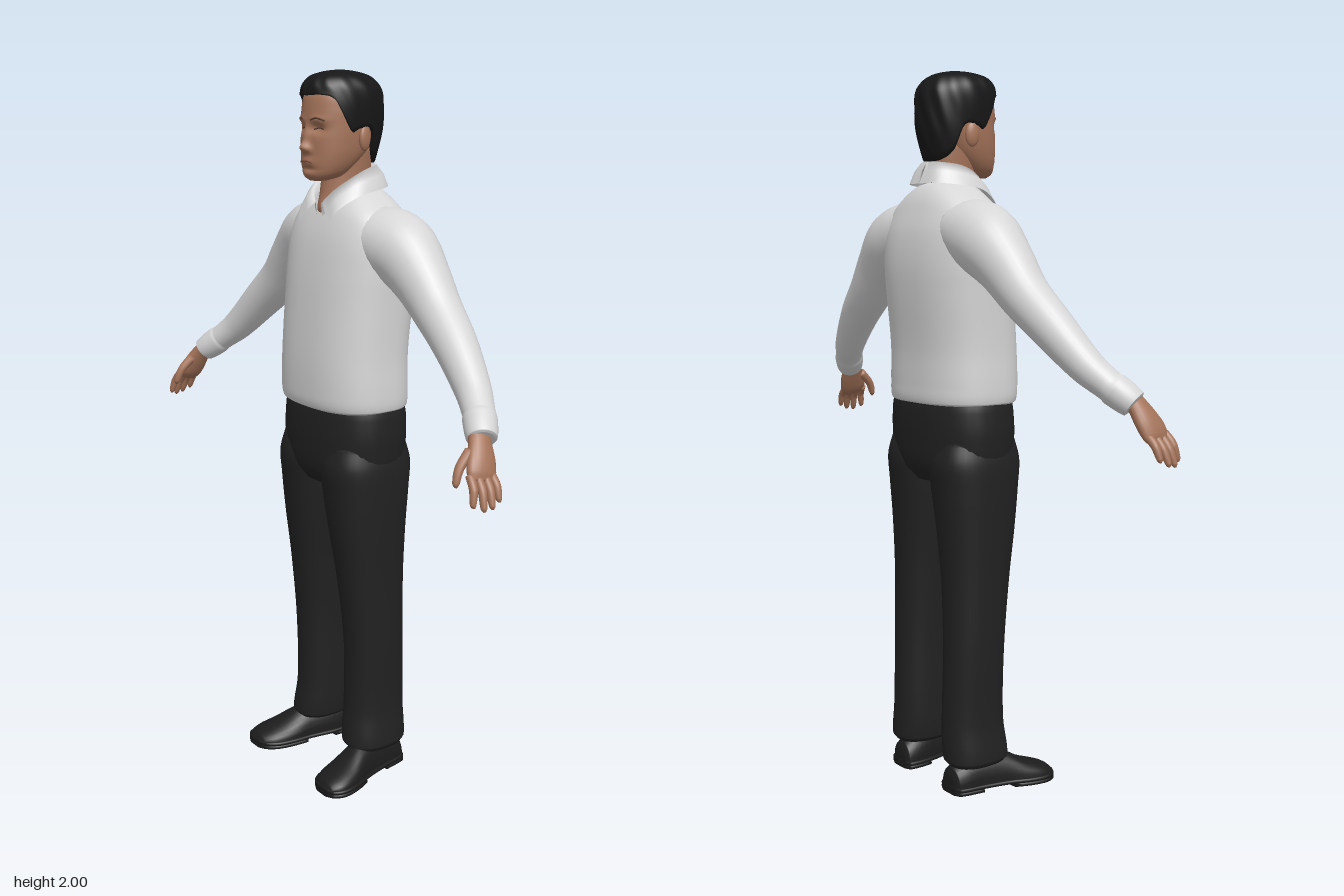
import * as THREE from 'three';

const V = (x, y, z) => new THREE.Vector3(x, y, z);
const mat = (name, color, side = THREE.FrontSide) => Object.assign(new THREE.MeshStandardMaterial({ color, side }), { name });
const spow = (v, p) => Math.sign(v) * Math.pow(Math.abs(v), p);
const bell = (v, s) => Math.exp(-(v * v) / (s * s));

// Smooth interpolation of key rows; the first number of a row is its parameter
function at(K, t) {
  const last = K.length - 1;
  let i = 0;
  while (i < last - 1 && t > K[i + 1][0]) i++;
  const h = K[i + 1][0] - K[i][0];
  const s = Math.min(1, Math.max(0, (t - K[i][0]) / h)), s2 = s * s, s3 = s2 * s;
  const slope = (j, c) => {
    const a = K[Math.max(j - 1, 0)], b = K[Math.min(j + 1, last)];
    return (b[c] - a[c]) / (b[0] - a[0]);
  };
  return K[i].map((p, c) => (2 * s3 - 3 * s2 + 1) * p + (s3 - 2 * s2 + s) * h * slope(i, c)
    + (3 * s2 - 2 * s3) * K[i + 1][c] + (s3 - s2) * h * slope(i + 1, c));
}

// Parameter values with k steps between neighbouring keys
function steps(K, k) {
  const out = [K[0][0]];
  for (let i = 1; i < K.length; i++)
    for (let j = 1; j <= k; j++) out.push(K[i - 1][0] + (K[i][0] - K[i - 1][0]) * j / k);
  return out;
}

// Surface through rows of points, optionally closed around and capped
function skin(rows, { wrap = true, bottom = true, top = true } = {}) {
  const n = rows[0].length, pts = rows.flat(), idx = [];
  for (let i = 0; i < rows.length - 1; i++)
    for (let j = 0; j < (wrap ? n : n - 1); j++) {
      const a = i * n + j, b = i * n + (j + 1) % n;
      idx.push(a, b, a + n, b, b + n, a + n);
    }
  const cap = (row, start, flip) => {
    const c = row.reduce((s, p) => s.add(p), V(0, 0, 0)).divideScalar(n);
    pts.push(c);
    for (let j = 0; j < n; j++) {
      const a = start + j, b = start + (j + 1) % n;
      idx.push(pts.length - 1, flip ? b : a, flip ? a : b);
    }
  };
  if (wrap && bottom) cap(rows[0], 0, true);
  if (wrap && top) cap(rows[rows.length - 1], (rows.length - 1) * n, false);
  const g = new THREE.BufferGeometry().setFromPoints(pts);
  g.setIndex(idx);
  g.computeVertexNormals();
  return g;
}

const ring = (n, f) => Array.from({ length: n }, (_, j) => f(j / n * Math.PI * 2));

// Point on a horizontal section [y, x0, x1, z0, z1]
const section = ([y, x0, x1, z0, z1], a, n) => V((x0 + x1) / 2 + (x1 - x0) / 2 * spow(Math.cos(a), 2 / n), y,
  (z0 + z1) / 2 - (z1 - z0) / 2 * spow(Math.sin(a), 2 / n));
const upright = (K, n = 2.4, segs = 36, k = 5) => skin(steps(K, k).map(t => ring(segs, a => section(at(K, t), a, n))));
// [y, half width, front z, back z] to a symmetric section
const sym = K => K.map(([y, w, f, b]) => [y, -w, w, b, f]);

// Limb with keys [x, y, z, radius, radius across z]
function limb(K, segs = 20, k = 5) {
  return skin(steps(K, k).map(t => {
    const [x, y, z, r, rz] = at(K, t), e = 0.004;
    const p = at(K, t - e), q = at(K, t + e);
    const d = V(q[0] - p[0], q[1] - p[1], q[2] - p[2]).normalize();
    const u = V(0, 0, 1).cross(d).normalize(), v = d.clone().cross(u);
    return ring(segs, a => V(x, y, z).addScaledVector(u, r * Math.cos(a)).addScaledVector(v, rz * Math.sin(a)));
  }));
}

function mirrored(g) {
  const m = g.clone().scale(-1, 1, 1), i = m.index.array;
  for (let k = 0; k < i.length; k += 3) [i[k], i[k + 1]] = [i[k + 1], i[k]];
  m.computeVertexNormals();
  return m;
}

export function createModel() {
  const model = new THREE.Group();
  const shirt = mat('shirt white', 0xd6d6d6, THREE.DoubleSide), cloth = mat('trouser black', 0x212122);
  const skinTone = mat('skin', 0xa5745a), hairMat = mat('hair black', 0x171717, THREE.DoubleSide);
  const leather = mat('shoe black', 0x1c1c1c), lipMat = mat('lip brown', 0x8c5d49), browMat = mat('brow brown', 0x55392c);
  const add = (name, g, m) => {
    const mesh = new THREE.Mesh(g, m);
    mesh.name = name;
    model.add(mesh);
  };
  const pair = (name, g, m) => {
    add(name + 'Left', g, m);
    add(name + 'Right', mirrored(g), m);
  };

  // Shirt body and sleeves
  add('shirtBody', upright(sym([[1.095, .186, .1, -.152], [1.105, .197, .115, -.164], [1.15, .2, .12, -.166],
    [1.25, .197, .118, -.167], [1.4, .2, .105, -.18], [1.48, .203, .095, -.183], [1.56, .2, .08, -.175],
    [1.62, .178, .06, -.157], [1.66, .13, .04, -.14], [1.69, .08, .02, -.115], [1.7, .05, 0, -.09]]), 2.5, 48), shirt);
  pair('sleeve', limb([[.11, 1.57, -.055, .085, .1], [.16, 1.553, -.06, .097, .1], [.215, 1.53, -.065, .096, .094],
    [.285, 1.473, -.063, .08, .078], [.355, 1.402, -.059, .067, .066], [.445, 1.325, -.045, .058, .058],
    [.545, 1.232, -.018, .046, .047], [.6, 1.186, .01, .039, .042], [.612, 1.176, .018, .042, .044],
    [.65, 1.143, .045, .036, .039], [.652, 1.141, .046, .028, .031]], 28), shirt);

  // Folded collar: inner stand, top fold, outer wing
  const collar = [[0, .012, 1.655, .063, .066, 1.6, .082], [1, .045, 1.69, .046, .086, 1.642, .06],
    [2, .07, 1.725, 0, .106, 1.678, 0], [3, .068, 1.745, -.05, .098, 1.69, -.07],
    [4, .045, 1.752, -.1, .06, 1.695, -.128], [5, 0, 1.755, -.112, 0, 1.695, -.138]];
  const fold = steps(collar, 5).map(t => at(collar, t));
  pair('collar', skin([fold.map(c => V(c[4], c[5], c[6])),
    fold.map(c => V((c[1] + c[4]) / 2 + .004, (c[2] + c[5]) / 2 + .005, (c[3] + c[6]) / 2)),
    fold.map(c => V(c[1], c[2], c[3])), fold.map(c => V(c[1] * .93, c[2] - .045, c[3] * .93))].reverse(), { wrap: false }), shirt);

  // Trousers
  add('trouserSeat', upright(sym([[.88, .12, .08, -.125], [.92, .182, .103, -.153], [1, .2, .11, -.162],
    [1.08, .198, .107, -.162], [1.12, .19, .1, -.155]])), cloth);
  pair('trouserLeg', upright([[.08, .07, .19, -.125, .045], [.095, .055, .198, -.135, .056], [.2, .05, .187, -.135, .046],
    [.4, .05, .19, -.13, .046], [.6, .037, .192, -.13, .065], [.75, .018, .197, -.138, .086],
    [.87, .003, .2, -.15, .1], [.94, .002, .198, -.156, .106], [1, .02, .185, -.14, .09]]), cloth);

  // Shoes: upper, sole, heel and forefoot pads
  const shoe = [[-.13, .122, .05, .025], [-.12, .122, .075, .042], [-.05, .128, .105, .05], [.03, .145, .1, .053],
    [.09, .16, .07, .062], [.14, .17, .052, .06], [.172, .174, .038, .043], [.185, .175, .022, .02]];
  const zs = steps(shoe, 4);
  pair('shoeUpper', skin(zs.map(z => {
    const [, x, h, w] = at(shoe, z);
    return ring(28, a => V(x + w * Math.cos(a), .015 + (h - .015) * Math.pow(Math.max(0, Math.sin(a)), .8), z));
  })), leather);
  const pad = (z0, z1, y0, y1) => skin(zs.filter(z => z >= z0 && z <= z1).map(z => {
    const [, x, , w] = at(shoe, z);
    return ring(20, a => V(x + (w + .006) * spow(Math.cos(a), .4), (y0 + y1) / 2 + (y1 - y0) / 2 * spow(Math.sin(a), .4), z));
  }));
  pair('shoeSole', pad(-1, 1, .01, .024), leather);
  pair('shoeHeel', pad(-1, -.04, 0, .014), leather);
  pair('shoeForefoot', pad(.04, 1, 0, .014), leather);

  // Hands
  pair('palm', limb([[.635, 1.16, .042, .021, .029], [.655, 1.135, .055, .021, .032], [.675, 1.1, .068, .022, .04],
    [.69, 1.07, .08, .019, .042], [.7, 1.052, .086, .011, .034]]), skinTone);
  [[.733, 1.005, .058], [.738, .993, .083], [.735, .99, .107], [.722, 1, .13]].forEach(([x, y, z], k) => {
    const z0 = .052 + .021 * k, mx = (.692 + x) / 2 + .004;
    pair('finger' + (k + 1), limb([[.688, 1.07, z0, .011, .011], [mx, (1.07 + y) / 2 + .006, (z0 + z) / 2, .011, .011],
      [x - .003, y + .008, z, .008, .008], [x, y, z, .003, .003]], 12), skinTone);
  });
  pair('thumb', limb([[.658, 1.12, .09, .014, .014], [.662, 1.085, .125, .012, .012], [.667, 1.05, .14, .009, .009],
    [.669, 1.04, .142, .003, .003]], 12), skinTone);

  // Neck and head with sculpted face
  add('neck', upright(sym([[1.61, .045, .05, -.08], [1.64, .05, .058, -.09], [1.68, .056, .048, -.095],
    [1.73, .06, .04, -.1], [1.8, .066, .035, -.1]]), 2), skinTone);
  const head = sym([[1.715, .022, .085, .04], [1.725, .046, .095, 0], [1.745, .063, .099, -.03], [1.78, .077, .1, -.07],
    [1.82, .084, .1, -.1], [1.86, .087, .098, -.115], [1.9, .087, .096, -.115], [1.94, .082, .086, -.105],
    [1.97, .06, .06, -.08], [1.985, .02, .02, -.04]]);
  const sculpt = (x, y) => {
    const ax = Math.abs(x);
    return .02 * bell(x, .014) * bell(y - 1.802, .014) + .011 * bell(x, .011) * bell(y - 1.832, .026)
      + .006 * bell(ax - .015, .008) * bell(y - 1.797, .009) - .012 * bell(ax - .034, .02) * bell(y - 1.85, .013)
      + .004 * bell(ax - .035, .026) * bell(y - 1.874, .01) + .007 * bell(x, .026) * bell(y - 1.766, .013)
      - .004 * bell(x, .03) * bell(y - 1.747, .006) + .004 * bell(x, .025) * bell(y - 1.732, .01);
  };
  add('head', skin(steps(head, 9).map(t => ring(96, a => {
    const p = section(at(head, t), a, 2.25);
    if (p.z > .02) p.z += sculpt(p.x, p.y);
    return p;
  }))), skinTone);
  const onFace = (x, y) => {
    const [, , w, b, f] = at(head, y);
    return V(x, y, (b + f) / 2 + (f - b) / 2 * Math.pow(1 - Math.pow(Math.abs(x) / w, 2.25), 1 / 2.25) + sculpt(x, y));
  };
  const line = (pts, r) => new THREE.TubeGeometry(new THREE.CatmullRomCurve3(pts.map(p => onFace(...p))), 16, r, 6);
  pair('eyebrow', line([[.016, 1.873], [.035, 1.878], [.055, 1.871]], .0025), browMat);
  pair('eyeLine', line([[.02, 1.849], [.034, 1.853], [.048, 1.849]], .0018), browMat);
  add('lips', line([[-.024, 1.764], [-.008, 1.768], [0, 1.767], [.008, 1.768], [.024, 1.764]], .0035), lipMat);
  pair('ear', new THREE.SphereGeometry(1, 18, 14).scale(.011, .033, .02).rotateY(.25).translate(.088, 1.825, -.025), skinTone);

  // Short hair: a shell above a hairline that varies around the head
  const hair = sym([[1.74, .066, .05, -.1], [1.78, .08, .08, -.114], [1.84, .091, .1, -.128], [1.9, .096, .106, -.132],
    [1.94, .094, .101, -.128], [1.965, .085, .094, -.113], [1.985, .064, .073, -.088], [1.996, .032, .035, -.05],
    [2, .005, 0, -.015]]);
  const hairline = [[0, 1.935], [.5, 1.937], [.9, 1.925], [1.15, 1.88], [1.35, 1.842], [1.5, 1.85], [1.85, 1.85],
    [2.1, 1.79], [2.6, 1.76], [Math.PI, 1.755]];
  const hairRow = (t, size) => ring(96, a => {
    const phi = Math.acos(Math.max(-1, Math.min(1, -Math.sin(a))));
    const y0 = at(hairline, phi)[1], y = y0 + (2 - y0) * (1 - Math.pow(1 - t, 1.8));
    const p = section(at(hair, y), a, 2.2);
    const k = size * (1 + .014 * Math.sin(a * 13 + y * 45) * Math.min(1, t * 4));
    return V(p.x * k, y, -.013 + (p.z + .013) * k);
  });
  const hairRows = [hairRow(0, .86)];
  for (let i = 0; i <= 24; i++) hairRows.push(hairRow(i / 24, 1));
  add('hair', skin(hairRows, { bottom: false }), hairMat);

  return model;
}
